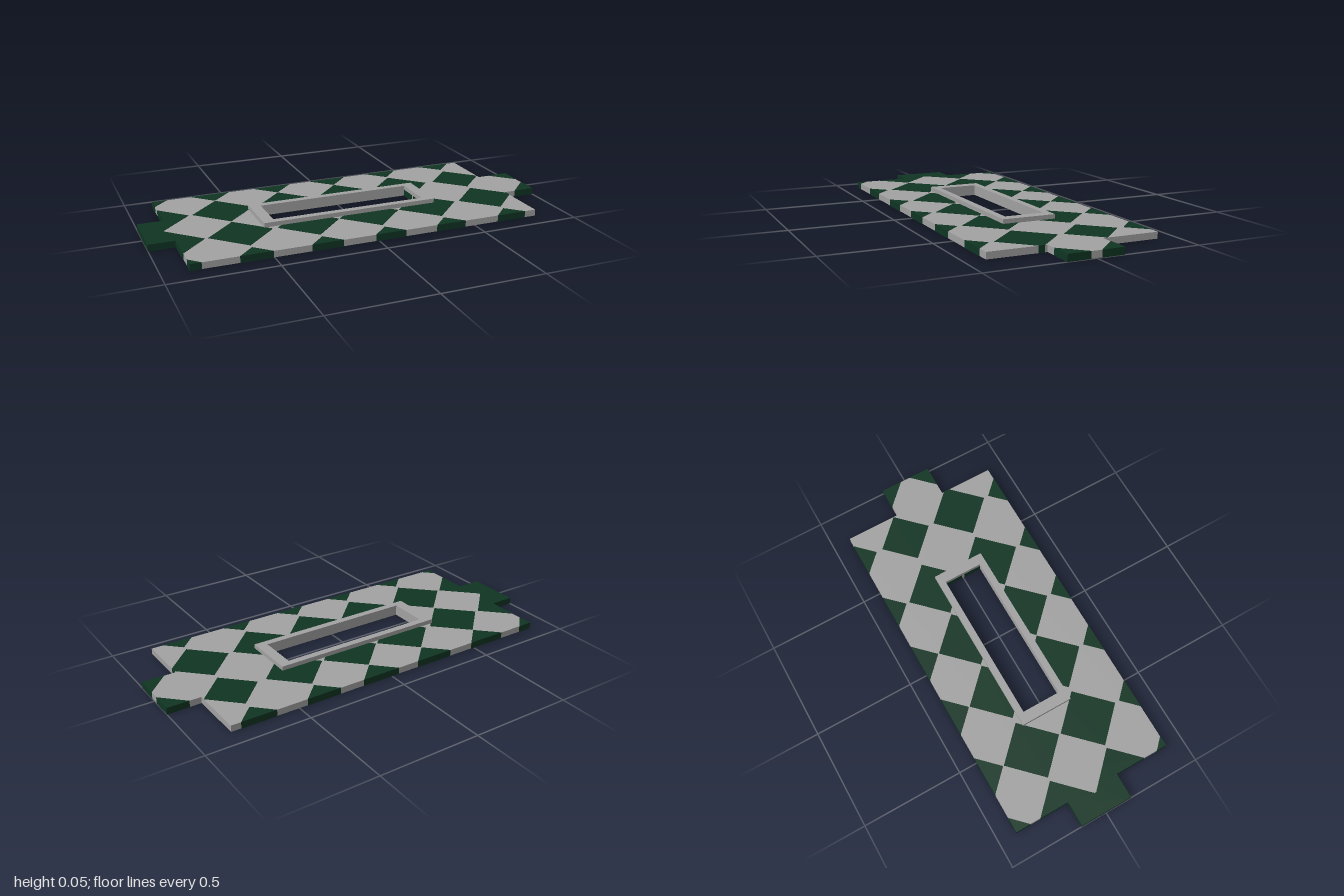
import * as THREE from 'three';
import { mergeGeometries } from 'three/addons/utils/BufferGeometryUtils.js';

const E = 0.001; // how far the dark inlays stand proud
const SLAB_TOP = 0.032;
const FRAME_TOP = 0.054;
const HOLE = [-0.405, -0.098, 0.37, 0.098]; // x0, z0, x1, z1

const toPoints = (list) => list.map(([x, z]) => new THREE.Vector2(x, z));
const rect = ([x0, z0, x1, z1]) => [[x0, z0], [x1, z0], [x1, z1], [x0, z1]];
const diamond = (x, z, r) => [[x - r, z], [x, z - r], [x + r, z], [x, z + r]];

// Plan outline in x/z, raised from y0 to y1
function plate(outline, y0, y1, hole) {
  const shape = new THREE.Shape(toPoints(outline));
  if (hole) shape.holes.push(new THREE.Path(toPoints(hole)));
  const geometry = new THREE.ExtrudeGeometry(shape, { depth: y1 - y0, bevelEnabled: false });
  return geometry.rotateX(Math.PI / 2).translate(0, y1, 0);
}

// Clip a convex polygon to a rectangle
function clip(poly, [x0, z0, x1, z1]) {
  const sides = [[0, 1, x0], [0, -1, x1], [1, 1, z0], [1, -1, z1]];
  for (const [axis, sign, limit] of sides) {
    const out = [];
    poly.forEach((a, i) => {
      const b = poly[(i + 1) % poly.length];
      const da = sign * (a[axis] - limit);
      const db = sign * (b[axis] - limit);
      if (da >= 0) out.push(a);
      if (da * db < 0) {
        const t = da / (da - db);
        out.push([a[0] + t * (b[0] - a[0]), a[1] + t * (b[1] - a[1])]);
      }
    });
    poly = out;
  }
  return poly;
}

export function createModel() {
  const model = new THREE.Group();
  const grey = new THREE.MeshStandardMaterial({ color: 0xa3a3a3 });
  grey.name = 'stoneGrey';
  const green = new THREE.MeshStandardMaterial({ color: 0x0f3523 });
  green.name = 'darkGreen';

  const add = (name, geometry, material) => {
    const mesh = new THREE.Mesh(geometry, material);
    mesh.name = name;
    model.add(mesh);
  };

  // Floor slab with a tab at each end and a slot in the middle
  const [l, r, w, t] = [-0.875, 0.835, 0.408, 0.132];
  const end = 1 - E;
  const outline = [
    [l, -w], [r, -w], [r, -t], [end, -t], [end, t], [r, t],
    [r, w], [l, w], [l, t], [-end, t], [-end, -t], [l, -t],
  ];
  add('floorSlab', plate(outline, E, SLAB_TOP, rect(HOLE)), grey);

  // Raised curb around the slot
  add('slotCurb', plate(rect([-0.46, -t, 0.422, t]), SLAB_TOP, FRAME_TOP, rect(HOLE)), grey);

  // Rows of diamond tiles
  const tiles = [];
  for (const x of [-0.9, -0.58, -0.25, 0.06, 0.372, 0.7]) {
    tiles.push(diamond(x, 0.158, x > 0.6 ? 0.15 : 0.153));
    tiles.push(diamond(x, -0.155, x > 0.6 ? 0.134 : 0.151));
    tiles.push(diamond(x, 0.486, 0.153));
    tiles.push(diamond(x, x > 0.3 ? -0.477 : -0.465, 0.155));
  }
  tiles.push(diamond(1.03, 0.155, 0.16), diamond(1.03, -0.155, 0.16));
  tiles.push(rect([-1.1, -0.2, -0.9, 0.2]));

  // Areas of the slab that the tiles may cover
  const [hx0, hz0, hx1, hz1] = HOLE;
  const areas = [
    [l - E, -w - E, r + E, hz0 - E],
    [l - E, hz1 + E, r + E, w + E],
    [l - E, hz0 - E, hx0 - E, hz1 + E],
    [hx1 - E, hz0 - E, r + E, hz1 + E],
    [-1, -t - E, l - E, t + E],
    [r + E, -t - E, 1, t + E],
  ];
  const pieces = [];
  for (const tile of tiles) {
    for (const area of areas) {
      const poly = clip(tile, area);
      if (poly.length > 2) pieces.push(plate(poly, 0, SLAB_TOP + E));
    }
  }
  add('diamondTiles', mergeGeometries(pieces), green);

  return model;
}
